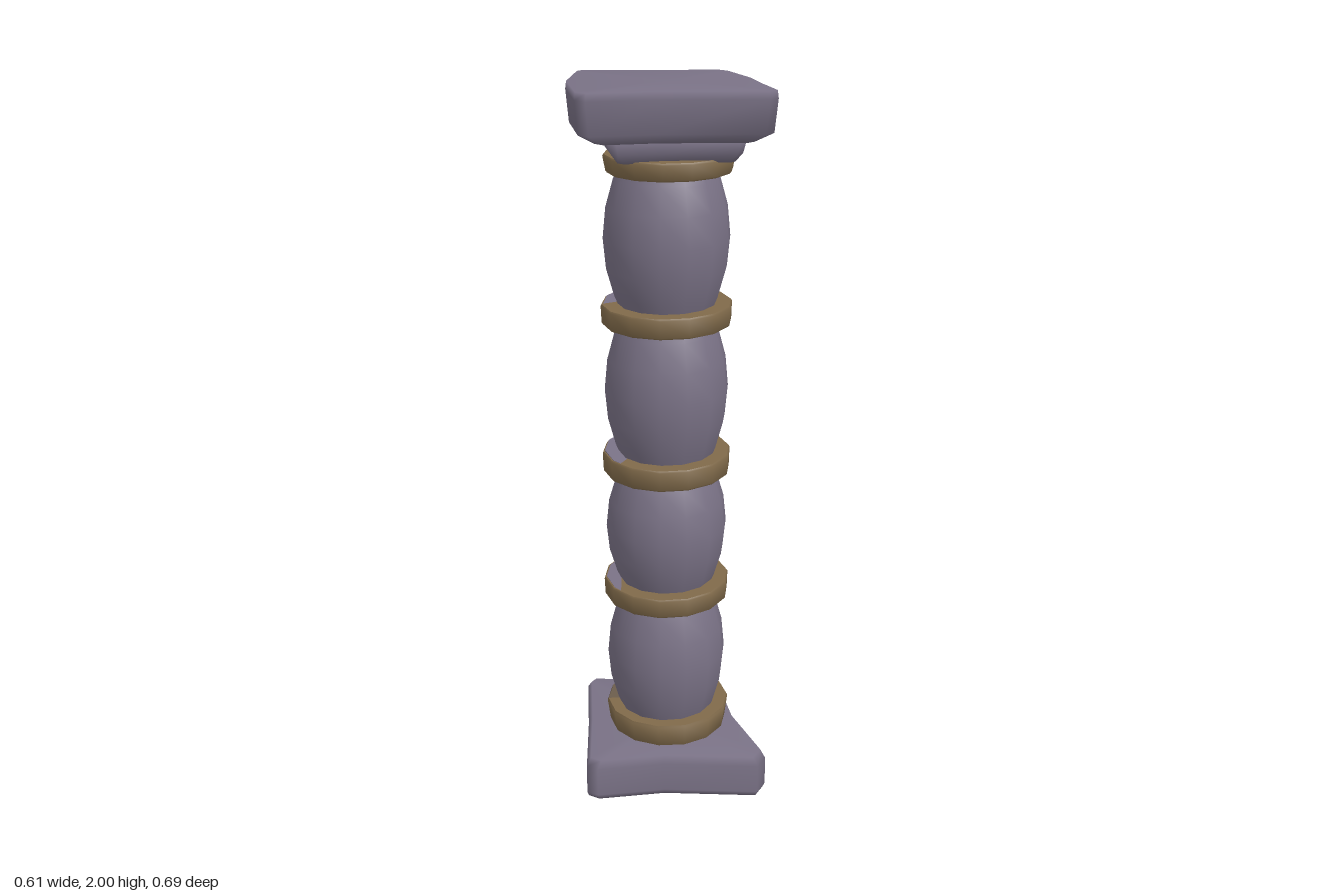
import * as THREE from 'three';
import { toCreasedNormals } from 'three/addons/utils/BufferGeometryUtils.js';

const CX = 0.028, CZ = -0.012; // column axis

// Worn, roughly diamond-shaped slab outlines as [x, z]
const BASE = [
  [0.01, -0.34], [0.035, -0.345], [0.165, -0.19], [0.303, -0.09], [0.303, -0.05], [0.18, 0.125],
  [0.09, 0.33], [0.04, 0.345], [-0.14, 0.145], [-0.295, 0.03], [-0.305, -0.005], [-0.145, -0.17],
];
const CAP = [
  [0.01, -0.34], [0.03, -0.345], [0.18, -0.195], [0.305, -0.09], [0.305, -0.05], [0.23, 0.1], [0.16, 0.2],
  [0.085, 0.318], [0.055, 0.318], [-0.15, 0.125], [-0.297, 0.03], [-0.297, -0.01], [-0.16, -0.195],
];

// Stack scaled copies of an outline at the given [y, scale] levels and close both ends
function slab(outline, levels) {
  const n = outline.length, pos = [], idx = [];
  for (const [y, s] of levels)
    for (const [x, z] of outline) pos.push(CX + (x - CX) * s, y, CZ + (z - CZ) * s);
  for (let l = 0; l < levels.length - 1; l++)
    for (let i = 0; i < n; i++) {
      const a = l * n + i, b = l * n + (i + 1) % n;
      idx.push(b, a, a + n, b, a + n, b + n);
    }
  const bottom = levels.length * n, top = bottom + 1, last = bottom - n;
  pos.push(CX, levels[0][0], CZ, CX, levels[levels.length - 1][0], CZ);
  for (let i = 0; i < n; i++) {
    const j = (i + 1) % n;
    idx.push(bottom, i, j, top, last + j, last + i);
  }
  const g = new THREE.BufferGeometry();
  g.setAttribute('position', new THREE.Float32BufferAttribute(pos, 3));
  g.setIndex(idx);
  g.computeVertexNormals();
  return g;
}

export function createModel() {
  const model = new THREE.Group();
  model.name = 'column';
  const material = (name, color) => {
    const m = new THREE.MeshStandardMaterial({ color });
    m.name = name;
    return m;
  };
  const stone = material('purple grey stone', 0x7a7286);
  const bronze = material('dull bronze', 0x806a4a);
  const tarnished = material('tarnished bronze', 0x6c5d4c);

  const add = (name, geometry, mat, parent = model) => {
    const mesh = new THREE.Mesh(geometry, mat);
    mesh.name = name;
    parent.add(mesh);
    return mesh;
  };

  // Base, capital and the stepped neck under the capital
  add('basePlinth', slab(BASE, [[0, 0.98], [0.015, 1], [0.1, 1], [0.122, 0.95]]), stone);
  add('capital', slab(CAP, [[1.868, 0.8], [1.895, 0.97], [1.98, 1], [2, 0.99]]), stone);
  add('capitalNeck', slab(CAP, [[1.81, 0.6], [1.835, 0.67], [1.88, 0.71]]), stone).position.x = 0.014;

  // Barrel-shaped drums between the ring centres
  const joints = [0.15, 0.57, 0.955, 1.385, 1.8];
  const bulge = [[0, 0.122], [0.12, 0.143], [0.3, 0.164], [0.5, 0.172], [0.7, 0.164], [0.88, 0.143], [1, 0.122]];
  for (let i = 0; i < 4; i++) {
    const y0 = joints[i], h = joints[i + 1] - y0;
    const profile = bulge.map(([t, r]) => new THREE.Vector2(r, y0 + t * h));
    add('drum' + (i + 1), new THREE.LatheGeometry(profile, 14), stone).position.set(CX, 0, CZ);
  }

  // Bronze rings: bottom, top, lower radius, upper radius, x shift,
  // then for the stone foot let into the top: depth, x tilt, z tilt
  const rings = [
    [0.12, 0.192, 0.172, 0.18, 0.006], [0.543, 0.6, 0.178, 0.18, 0, [0.0055, 0.03, -0.03]],
    [0.927, 0.988, 0.178, 0.18, 0, [0.003, 0.045, -0.015]], [1.357, 1.414, 0.178, 0.18, 0, [0.003, 0.045, 0.015]],
    [1.768, 1.817, 0.17, 0.177, 0.01],
  ];
  rings.forEach(([b, t, r0, r1, dx, foot], i) => {
    const h = t - b;
    const profile = [[0.1, 0], [r0 - 0.004, 0], [r0, 0.005], [r1, h - 0.005], [r1 - 0.003, h], [0.1, h]]
      .map(([r, y]) => new THREE.Vector2(r, y - h / 2));
    const arc = (segments, start, length) =>
      toCreasedNormals(new THREE.LatheGeometry(profile, segments, start, length), 0.9);
    const ring = new THREE.Group();
    ring.name = 'ring' + (i + 1);
    ring.position.set(CX + dx, (b + t) / 2, CZ);
    ring.rotation.z = 0.015;
    model.add(ring);
    if (i === 0) {
      // The lowest ring is tarnished on its back left side
      add('ringBright', arc(9, 4.0, 4.0), bronze, ring);
      add('ringTarnished', arc(5, 8.0 - Math.PI * 2, Math.PI * 2 - 4.0), tarnished, ring);
    } else add('ringBand', arc(14, 0, Math.PI * 2), bronze, ring);
    if (foot) {
      // Crooked foot of the drum above, breaking through the ring's top on one side
      const disc = add('drumFoot', new THREE.CylinderGeometry(0.174, 0.17, 0.02, 14), stone, ring);
      disc.position.y = h / 2 - 0.01 - foot[0];
      disc.rotation.set(foot[1], 0, foot[2]);
    }
  });

  return model;
}
